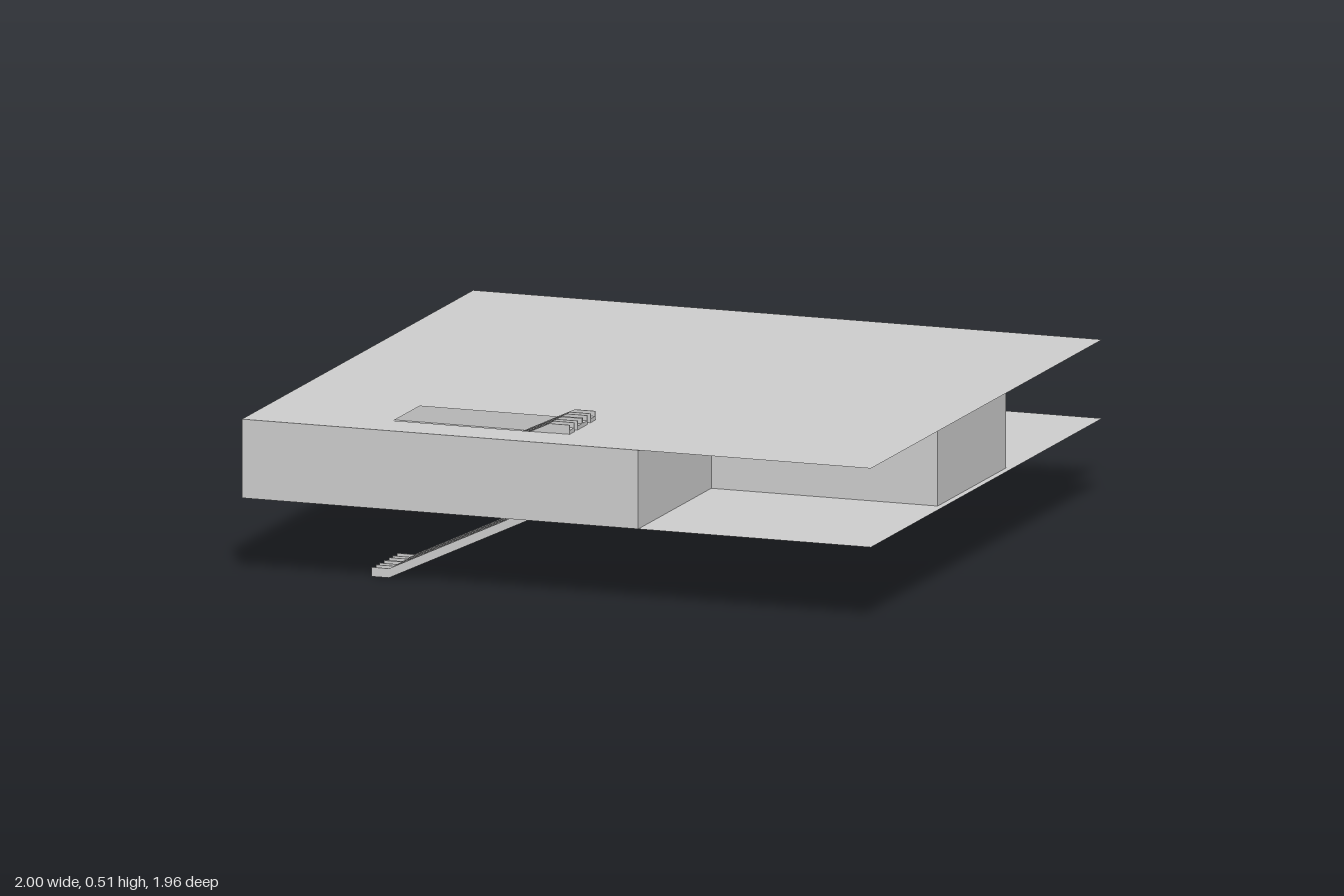
import * as THREE from 'three';

const material = new THREE.MeshStandardMaterial({ color: 0xcccccc, flatShading: true, side: THREE.DoubleSide });
const LOW = 0.24, HIGH = 0.48;

function add(parent, name, geometry) {
  const mesh = new THREE.Mesh(geometry, material);
  mesh.name = name;
  parent.add(mesh);
  return mesh;
}

// Thin floor sheet with the escalator opening; shape y maps to z
function floorGeometry() {
  const outline = (path, x0, z0, x1, z1) =>
    path.moveTo(x0, z0).lineTo(x1, z0).lineTo(x1, z1).lineTo(x0, z1).closePath();
  const shape = outline(new THREE.Shape(), -1, -0.98, 1, 0.98);
  shape.holes.push(outline(new THREE.Path(), -0.57, 0.62, -0.065, 0.842));
  // Turned so that the face points up
  const g = new THREE.ShapeGeometry(shape);
  g.scale(1, -1, 1);
  g.index.array.reverse();
  return g.rotateX(-Math.PI / 2);
}

// Side profile of one flight, with level landings at both ends
function flightGeometry(top, z0, z1) {
  const s = new THREE.Shape([
    [-0.64, 0], [-0.585, 0], [-0.075, LOW], [-0.01, LOW],
    [-0.01, LOW + top], [-0.075, LOW + top], [-0.585, top], [-0.64, top],
  ].map(([x, y]) => new THREE.Vector2(x, y)));
  return new THREE.ExtrudeGeometry(s, { depth: z1 - z0, bevelEnabled: false }).translate(0, 0, z0);
}

export function createModel() {
  const model = new THREE.Group();
  model.name = 'buildingStorey';

  add(model, 'lowerFloor', floorGeometry()).position.y = LOW;
  add(model, 'upperFloor', floorGeometry()).position.y = HIGH;

  // Thin walls around the stepped plan of the room
  const walls = new THREE.Group();
  walls.name = 'walls';
  const plan = [[-1, 0.98], [0.26, 0.98], [0.26, 0.36], [0.98, 0.36], [0.98, -0.22], [-1, -0.22]];
  plan.forEach(([x0, z0], i) => {
    const [x1, z1] = plan[(i + 1) % plan.length];
    const length = Math.hypot(x1 - x0, z1 - z0);
    const wall = add(walls, 'wall', new THREE.PlaneGeometry(length, HIGH - LOW));
    wall.position.set((x0 + x1) / 2, (LOW + HIGH) / 2, (z0 + z1) / 2);
    wall.rotation.y = Math.atan2(z0 - z1, x1 - x0);
  });
  model.add(walls);

  // Four parallel escalators on each level: low tread between thin side rims
  const lanes = [[0.623, 0.665], [0.689, 0.731], [0.733, 0.775], [0.798, 0.84]];
  const rim = 0.004;
  for (const level of [0, LOW]) {
    for (const [z0, z1] of lanes) {
      const escalator = new THREE.Group();
      escalator.name = 'escalator';
      escalator.position.y = level;
      add(escalator, 'treads', flightGeometry(0.012, z0 + rim, z1 - rim));
      add(escalator, 'sideRim', flightGeometry(0.028, z0, z0 + rim));
      add(escalator, 'sideRim', flightGeometry(0.028, z1 - rim, z1));
      model.add(escalator);
    }
  }
  return model;
}
